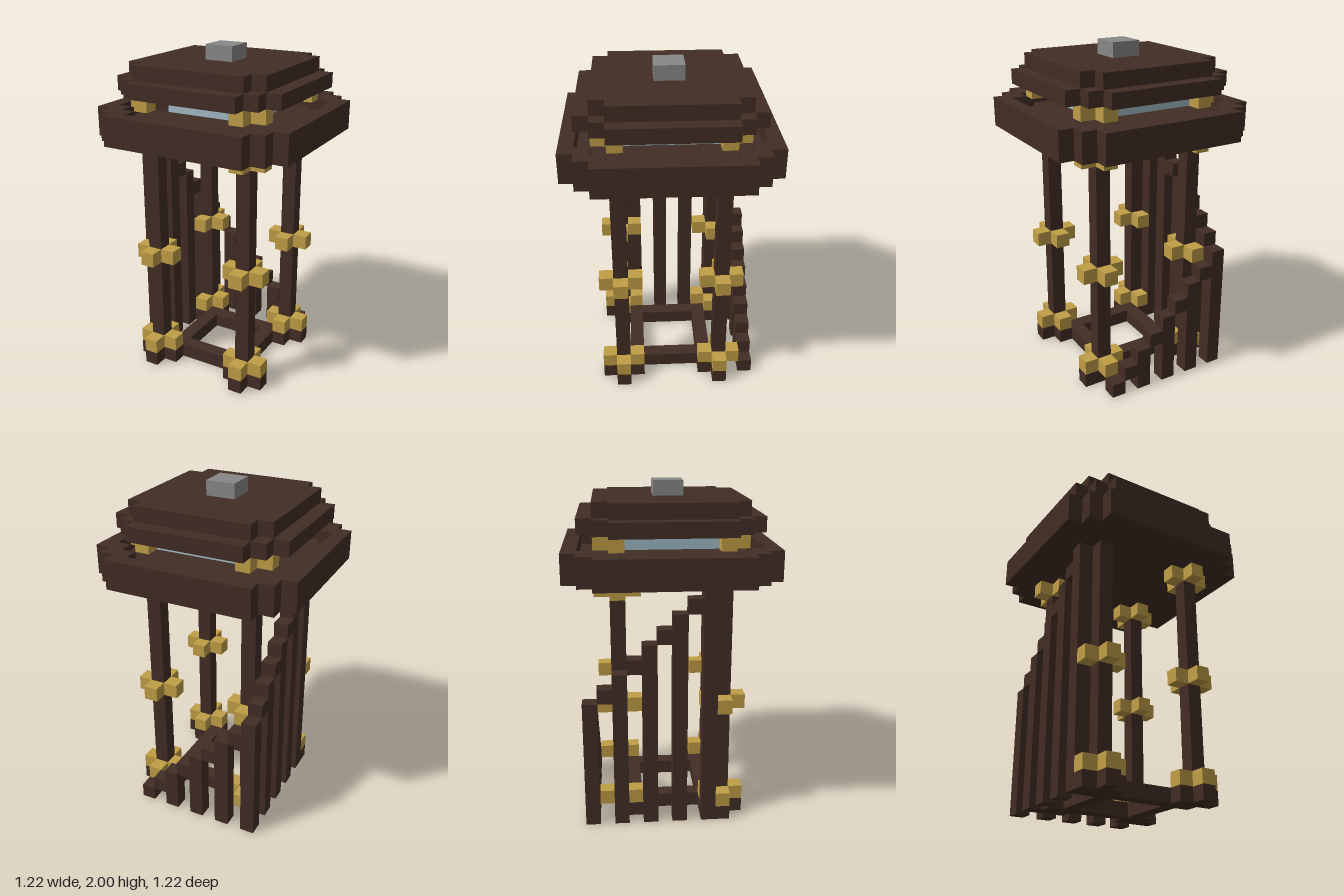
import * as THREE from 'three';

const U = 2 / 23; // one block

export function createModel() {
  const model = new THREE.Group();
  model.name = 'gazeboTower';
  const mat = (name, color) => {
    const m = new THREE.MeshStandardMaterial({ color });
    m.name = name;
    return m;
  };
  const wood = mat('dark wood', 0x422d24);
  const gold = mat('gold', 0xc09e46);
  const glass = mat('pale glass', 0xa0bac4);
  const stone = mat('grey stone', 0x888888);

  // box between two corners, in block units
  const box = (name, m, x0, x1, y0, y1, z0, z1, parent = model) => {
    const mesh = new THREE.Mesh(
      new THREE.BoxGeometry((x1 - x0) * U, (y1 - y0) * U, (z1 - z0) * U), m);
    mesh.position.set((x0 + x1) * U / 2, (y0 + y1) * U / 2, (z0 + z1) * U / 2);
    mesh.name = name;
    parent.add(mesh);
    return mesh;
  };
  const group = (name) => {
    const g = new THREE.Group();
    g.name = name;
    model.add(g);
    return g;
  };

  // stepped square outline; steps run from the +x side to the +z side
  const outline = (steps) => {
    const quarter = [];
    steps.forEach(([x, z], i) => {
      if (i) quarter.push([x, steps[i - 1][1]]);
      quarter.push([x, z]);
    });
    const pts = [];
    for (let k = 0; k < 4; k++) {
      for (const [x, z] of quarter) {
        const p = [[x, z], [-z, x], [-x, -z], [z, -x]][k];
        pts.push(new THREE.Vector2(p[0] * U, p[1] * U));
      }
    }
    return pts;
  };
  const plate = (name, steps, y0, y1, hole) => {
    const shape = new THREE.Shape(outline(steps));
    if (hole) shape.holes.push(new THREE.Path(outline(hole)));
    const geo = new THREE.ExtrudeGeometry(shape, { depth: (y1 - y0) * U, bevelEnabled: false });
    geo.rotateX(-Math.PI / 2);
    const mesh = new THREE.Mesh(geo, wood);
    mesh.position.y = y0 * U;
    mesh.name = name;
    model.add(mesh);
  };

  // roof: floor slab with raised rim, then two stepped tiers and a cap
  const wide = [[7, 5], [6, 6], [5, 7]];
  const middle = [[6, 4], [5, 5], [4, 6]];
  plate('roofFloor', wide, 17, 18);
  plate('roofRim', wide, 18, 19, middle);
  plate('lowerRoofTier', middle, 20, 21);
  plate('upperRoofTier', [[5, 4], [4, 5]], 21, 22);
  box('roofCap', stone, -1, 1, 22, 23, -1, 1);

  // columns with cross-shaped collars; sx, sz pick the corner
  const collar = (name, m, sx, sz, y, arms) => {
    const g = group(name);
    const cx = 3.5 * sx, cz = 3.5 * sz;
    const cell = (dx, dz) => box('collarBlock', m,
      cx + dx - 0.5, cx + dx + 0.5, y, y + 1, cz + dz - 0.5, cz + dz + 0.5, g);
    cell(0, 0);
    if (arms.outX) cell(sx, 0);
    if (arms.inX) cell(-sx, 0);
    if (arms.outZ) cell(0, sz);
    if (arms.inZ) cell(0, -sz);
  };
  for (const sx of [-1, 1]) {
    for (const sz of [-1, 1]) {
      const stairCorner = sx < 0 && sz < 0;
      const all = { outX: !stairCorner, inX: true, outZ: true, inZ: true };
      const c = 3.5 * sx, d = 3.5 * sz;
      for (const [a, b] of [[2, 8], [9, 17]]) {
        box('column', wood, c - 0.5, c + 0.5, a, b, d - 0.5, d + 0.5);
      }
      collar('footBlock', wood, sx, sz, 0, { ...all, outZ: sz > 0 });
      collar('lowerCollar', gold, sx, sz, 1, all);
      collar('middleCollar', gold, sx, sz, 8, all);
      // the stair passes through the front corner beside it
      if (sx < 0 && sz > 0) box('columnTop', wood, -4, -3, 16, 17, 3, 4);
      else collar('upperCollar', gold, sx, sz, 16, { ...all, outX: true });
      collar('lanternCorner', gold, sx, sz, 19, { outX: true, outZ: true });
    }
  }

  // lantern windows
  box('frontWindow', glass, -2, 3, 19, 20, 3, 4);
  box('topStep', wood, -3, -2, 19, 20, 3, 4);
  box('backWindow', glass, -3, 3, 19, 20, -4, -3);
  for (const s of [-1, 1]) box('sideWindow', glass, 3.5 * s - 0.5, 3.5 * s + 0.5, 19, 20, -3, 3);

  // base frame
  for (const s of [-1, 1]) {
    box('baseBeam', wood, -3, 3, 0, 1, 2.5 * s - 0.5, 2.5 * s + 0.5);
    box('baseSideBeam', wood, 2.5 * s - 0.5, 2.5 * s + 0.5, 0, 1, -2, 2);
  }

  // stair: along the back, then up the -x side; posts alternate with floating steps
  const stair = group('stair');
  for (let i = 0; i < 17; i++) {
    const back = i <= 8;
    const x = back ? 3 - i : -5;
    const z = back ? -6 : i - 14;
    const post = i % 2 === 0;
    box(post ? 'stairPost' : 'stairStep', wood, x, x + 1, post ? 0 : i, i + 1, z, z + 1, stair);
  }
  return model;
}
